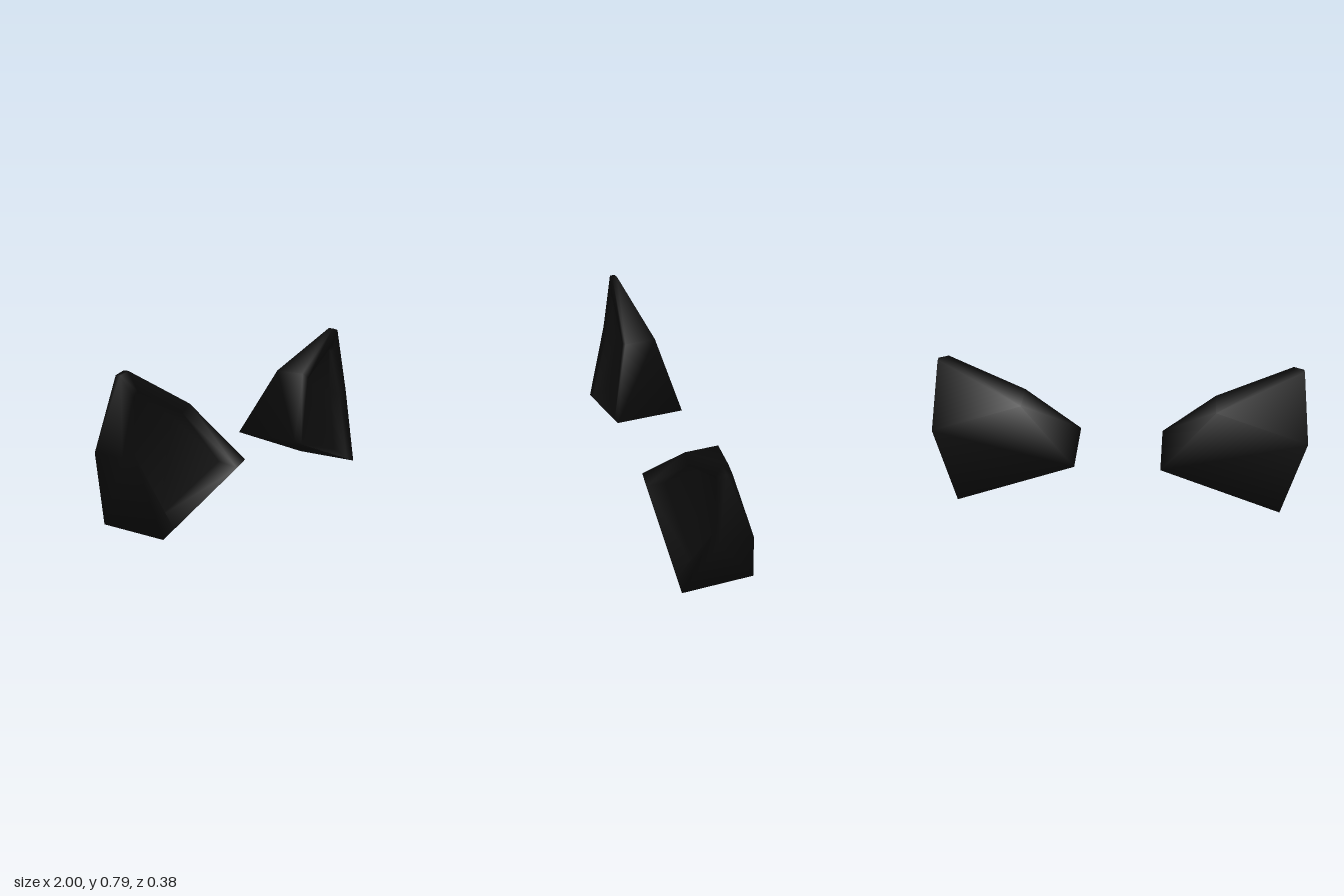
import * as THREE from 'three';

// Outline corners run counter-clockwise seen from the front:
// base outer, middle outer, tip outer, tip inner, middle inner, base inner.
const outline = [[0.88, 0], [1.0, 0.4], [0.955, 0.775], [0.9, 0.79], [0.51, 0.575], [0.23, 0.25]];
const opening = [[0.8, 0.03], [0.92, 0.4], [0.89, 0.67], [0.86, 0.69], [0.57, 0.54], [0.3, 0.22]];
const hollow = [[0.8, 0.075], [0.9, 0.4], [0.88, 0.65], [0.855, 0.67], [0.59, 0.52], [0.34, 0.25]];

// Depth of each loop at the base, middle and tip
const withDepth = (points, base, middle, tip) => {
  const z = [base, middle, tip, tip, middle, base];
  return points.map(([x, y], i) => [x, y, z[i]]);
};

function earGeometry(side) {
  const rings = [
    withDepth(outline, -0.19, -0.12, -0.014), // back
    withDepth(outline, 0.19, 0.055, 0.014), // front edge
    withDepth(opening, 0.19, 0.056, 0.032), // inner edge of the rim
    withDepth(hollow, 0.1, 0.0, 0.015), // floor of the hollow
  ];
  const positions = rings.flat().flatMap(([x, y, z]) => [x * side, y, z]);
  const index = [];
  const quad = (a, b, c, d) => {
    if (side > 0) index.push(a, b, c, a, c, d);
    else index.push(a, c, b, a, d, c);
  };

  // Side walls, rim and hollow walls
  for (let r = 0; r < 3; r++) {
    for (let i = 0; i < 6; i++) {
      const j = (i + 1) % 6;
      quad(r * 6 + i, r * 6 + j, r * 6 + 6 + j, r * 6 + 6 + i);
    }
  }
  // Hollow floor and back, each in a lower and an upper panel
  for (const [a, b, c, d] of [[0, 1, 4, 5], [1, 2, 3, 4]]) {
    quad(18 + a, 18 + b, 18 + c, 18 + d);
    quad(d, c, b, a);
  }

  const geometry = new THREE.BufferGeometry();
  geometry.setAttribute('position', new THREE.Float32BufferAttribute(positions, 3));
  geometry.setIndex(index);
  geometry.computeVertexNormals();
  return geometry;
}

export function createModel() {
  const group = new THREE.Group();
  group.name = 'pairOfEars';
  const black = new THREE.MeshStandardMaterial({ color: 0x0c0c0c });
  black.name = 'black';

  // Mirrored pair
  for (const [name, side] of [['leftEar', 1], ['rightEar', -1]]) {
    const ear = new THREE.Mesh(earGeometry(side), black);
    ear.name = name;
    group.add(ear);
  }
  return group;
}
